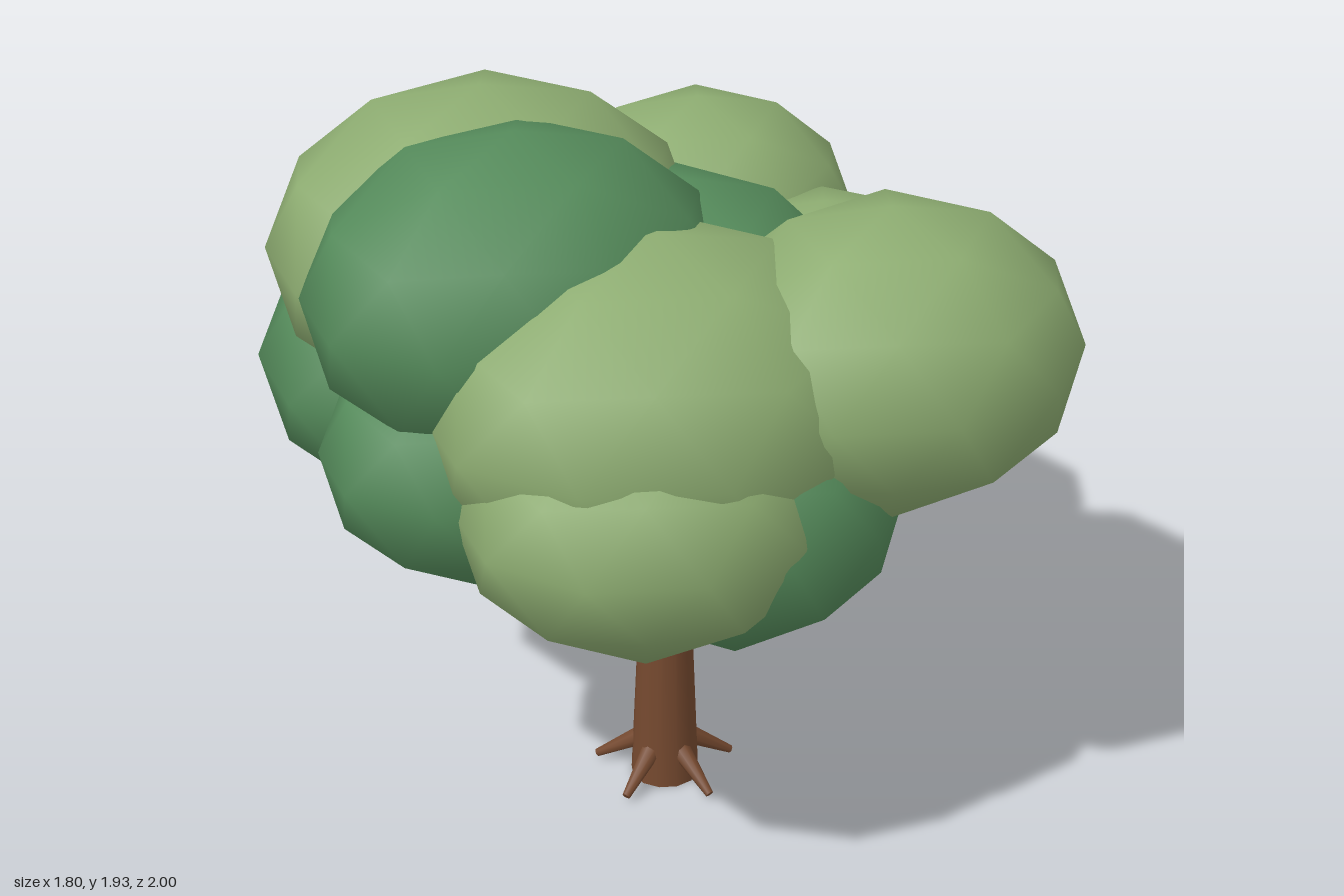
import * as THREE from 'three';

export function createModel() {
  const tree = new THREE.Group();
  tree.name = 'tree';

  const paint = (name, color) => {
    const m = new THREE.MeshStandardMaterial({ color });
    m.name = name;
    return m;
  };
  const lightLeaf = paint('light leaf green', 0x8dac71);
  const darkLeaf = paint('dark leaf green', 0x558b5b);
  const bark = paint('bark brown', 0x75492f);

  const add = (parent, name, geometry, material) => {
    const mesh = new THREE.Mesh(geometry, material);
    mesh.name = name;
    parent.add(mesh);
    return mesh;
  };

  // Foliage: squashed low-poly balls with a corner pointing straight up
  const ball = new THREE.IcosahedronGeometry(1, 1);
  ball.rotateZ(-Math.atan(2 / (1 + Math.sqrt(5))));

  // name, material, centre, radii
  const clumps = [
    ['frontLeftClump', lightLeaf, [0.40, 1.39, 0.55], [0.49, 0.385, 0.42]],
    ['topRightFrontClump', darkLeaf, [-0.40, 1.52, 0.16], [0.525, 0.41, 0.43]],
    ['topRightBackClump', lightLeaf, [-0.38, 1.515, -0.15], [0.545, 0.41, 0.46]],
    ['backClump', darkLeaf, [0.02, 1.15, -0.49], [0.59, 0.46, 0.51]],
    ['backLeftClump', lightLeaf, [0.28, 1.37, -0.38], [0.42, 0.34, 0.38]],
    ['leftClump', lightLeaf, [0.45, 1.23, 0.05], [0.47, 0.34, 0.37]],
    ['frontClump', lightLeaf, [-0.15, 1.32, 0.45], [0.575, 0.43, 0.49]],
    ['lowFrontRightClump', lightLeaf, [-0.23, 1.12, 0.58], [0.46, 0.36, 0.42]],
    ['lowFrontClump', darkLeaf, [0.01, 1.07, 0.55], [0.42, 0.36, 0.38]],
    ['lowBackRightClump', darkLeaf, [-0.38, 1.16, -0.27], [0.55, 0.4, 0.48]],
    ['lowRightClump', darkLeaf, [-0.45, 1.13, 0.2], [0.46, 0.35, 0.37]],
    ['lowMiddleClump', lightLeaf, [-0.2, 1.12, -0.05], [0.5, 0.4, 0.42]],
    ['middleClump', darkLeaf, [0.03, 1.24, 0.1], [0.5, 0.48, 0.5]],
  ];
  const foliage = new THREE.Group();
  foliage.name = 'foliage';
  tree.add(foliage);
  for (const [name, material, centre, radii] of clumps) {
    const clump = add(foliage, name, ball, material);
    clump.position.set(...centre);
    clump.scale.set(...radii);
  }

  // Trunk: tapered and running up into the foliage
  const base = new THREE.Group();
  base.name = 'trunkAndRoots';
  base.position.set(0.01, 0, 0.1);
  tree.add(base);
  const trunk = add(base, 'trunk', new THREE.CylinderGeometry(0.045, 0.09, 1.1, 12), bark);
  trunk.position.y = 0.55;

  // Roots: five tapered pegs sloping down to the ground
  const inner = new THREE.Vector3(0.06, 0.1, 0);
  const outer = new THREE.Vector3(0.187, 0.018, 0);
  const slope = outer.clone().sub(inner);
  const rootShape = new THREE.CylinderGeometry(0.011, 0.028, slope.length(), 8);
  rootShape.applyQuaternion(new THREE.Quaternion().setFromUnitVectors(
    new THREE.Vector3(0, 1, 0), slope.clone().normalize()));
  rootShape.translate(...inner.clone().add(outer).multiplyScalar(0.5).toArray());
  for (let i = 0; i < 5; i++) {
    add(base, 'root', rootShape, bark).rotation.y = -i * Math.PI * 2 / 5;
  }

  return tree;
}
